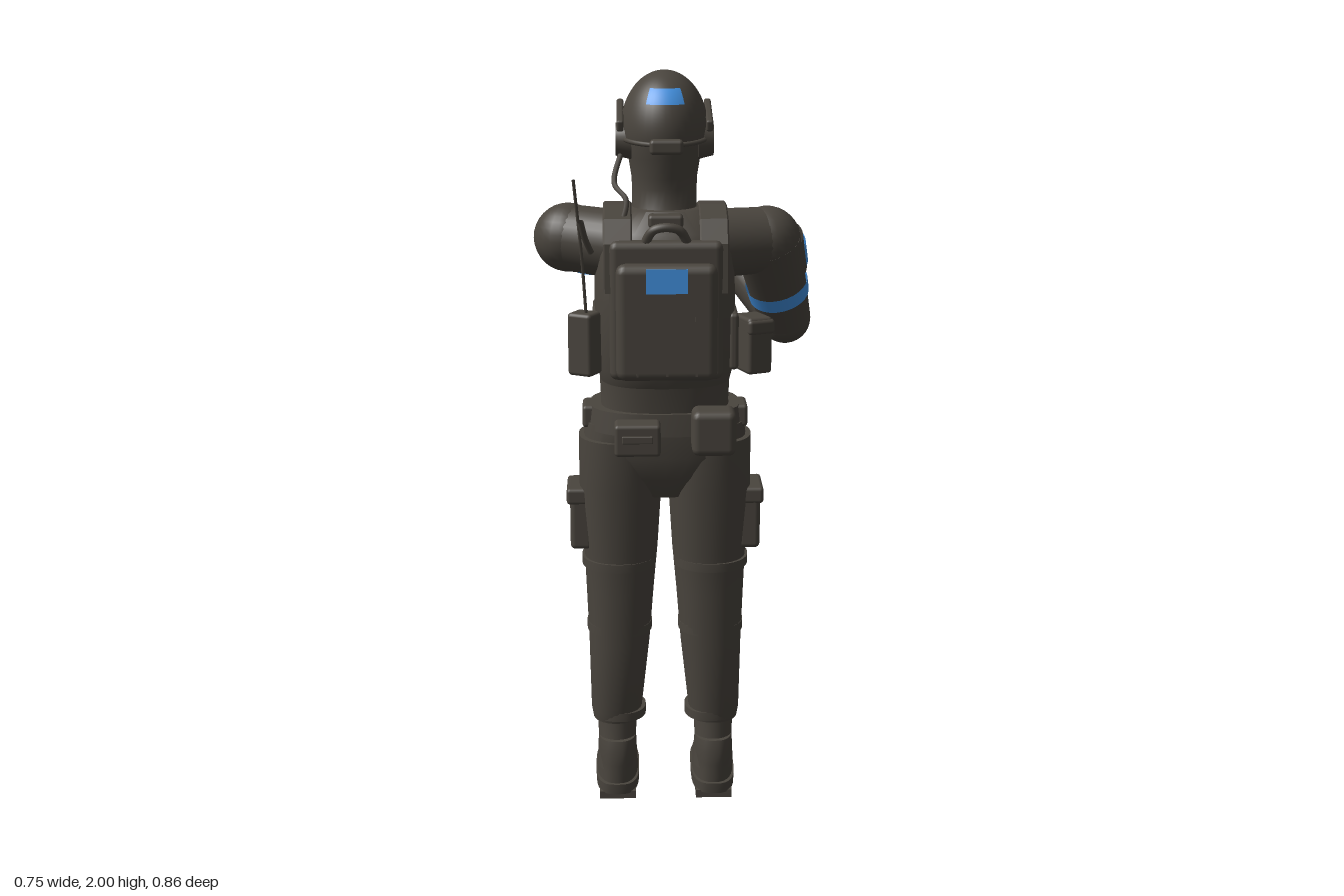
import * as THREE from 'three';
import { RoundedBoxGeometry } from 'three/addons/geometries/RoundedBoxGeometry.js';
import { toCreasedNormals } from 'three/addons/utils/BufferGeometryUtils.js';

const CX = -0.03; // body centre line
const V = (x, y, z) => new THREE.Vector3(x, y, z);

export function createModel() {
  const dark = new THREE.MeshStandardMaterial({ color: 0x4a453e, side: THREE.DoubleSide });
  dark.name = 'dark gear';
  const blue = new THREE.MeshStandardMaterial({ color: 0x4596e8, side: THREE.DoubleSide });
  blue.name = 'blue marking';
  const model = new THREE.Group();

  const add = (name, geo, mat = dark, parent = model) => {
    const m = new THREE.Mesh(geo, mat);
    m.name = name;
    parent.add(m);
    return m;
  };
  const box = (name, x, y, z, w, h, d, r = 0.01, mat = dark, parent = model) => {
    const g = r ? new RoundedBoxGeometry(w, h, d, 2, r) : new THREE.BoxGeometry(w, h, d);
    const m = add(name, g, mat, parent);
    m.position.set(x, y, z);
    return m;
  };
  // Stack of superellipse rings [y, cx, cz, rx, rz], capped at both ends
  const loft = (name, rings, power = 2, mat = dark) => {
    const n = 32, pos = [], idx = [];
    const bend = v => Math.sign(v) * Math.abs(v) ** (2 / power);
    for (const [y, cx, cz, rx, rz] of rings)
      for (let i = 0; i < n; i++) {
        const a = i / n * Math.PI * 2;
        pos.push(cx + rx * bend(Math.cos(a)), y, cz + rz * bend(Math.sin(a)));
      }
    for (let r = 0; r < rings.length - 1; r++)
      for (let i = 0; i < n; i++) {
        const a = r * n + i, b = r * n + (i + 1) % n;
        idx.push(a, a + n, b, b, a + n, b + n);
      }
    const top = (rings.length - 1) * n;
    for (let i = 1; i < n - 1; i++) idx.push(0, i, i + 1, top, top + i + 1, top + i);
    const g = new THREE.BufferGeometry();
    g.setAttribute('position', new THREE.Float32BufferAttribute(pos, 3));
    g.setIndex(idx);
    return add(name, toCreasedNormals(g, 0.7), mat);
  };
  const ball = (name, p, r) => add(name, new THREE.SphereGeometry(r, 24, 16)).position.copy(p);
  // Tapered segment from a to b; its local y axis points back to a
  const limb = (name, a, b, ra, rb) => {
    const len = a.distanceTo(b), grp = new THREE.Group();
    grp.position.copy(a).add(b).multiplyScalar(0.5);
    grp.quaternion.setFromUnitVectors(V(0, 1, 0), a.clone().sub(b).normalize());
    model.add(grp);
    grp.name = name;
    add(name, new THREE.CylinderGeometry(ra, rb, len, 28), dark, grp);
    return { grp, len };
  };
  const tube = (name, pts, r, mat = dark) =>
    add(name, new THREE.TubeGeometry(new THREE.CatmullRomCurve3(pts), 40, r, 8), mat);

  // Head, face covering and neck
  loft('head', [[1.6, CX, 0.165, 0.1, 0.1], [1.65, CX, 0.155, 0.084, 0.083], [1.7, CX, 0.15, 0.084, 0.085],
    [1.73, CX, 0.14, 0.086, 0.1], [1.78, CX, 0.145, 0.094, 0.106], [1.85, CX, 0.155, 0.1, 0.11], [1.92, CX, 0.155, 0.09, 0.11]]);
  box('nose', CX, 1.81, 0.043, 0.03, 0.06, 0.03, 0.012);
  box('browBand', CX, 1.872, 0.055, 0.13, 0.03, 0.03, 0.012);

  // Helmet shell: dome with the lower edge raised over the face
  const edge = z => z < 0 ? THREE.MathUtils.lerp(-0.12, 0.32, Math.min(1, -z * 1.15)) : -0.12 - 0.06 * z;
  const shell = new THREE.SphereGeometry(1, 40, 24, 0, Math.PI * 2, 0, 0.56 * Math.PI);
  const sp = shell.attributes.position;
  for (let i = 0; i < sp.count; i++) sp.setY(i, Math.max(sp.getY(i), edge(sp.getZ(i))));
  shell.scale(0.113, 0.15, 0.135).translate(CX, 1.85, 0.157);
  shell.computeVertexNormals();
  add('helmetShell', shell);
  const rim = [];
  for (let i = 0; i <= 32; i++) {
    const a = i / 32 * Math.PI * 2, z = Math.cos(a);
    rim.push(V(CX + 0.113 * Math.sin(a), 1.85 + 0.15 * edge(z), 0.157 + 0.137 * z));
  }
  tube('helmetRim', rim, 0.006);
  const mark = new THREE.SphereGeometry(1.02, 10, 6, Math.PI / 2 - 0.5, 1, 0.76, 0.32);
  add('helmetPatch', mark.scale(0.113, 0.15, 0.135).translate(CX, 1.85, 0.157), blue);
  box('helmetMount', CX, 1.912, 0.018, 0.045, 0.045, 0.022, 0.006);
  box('helmetRearBox', CX + 0.002, 1.82, 0.302, 0.085, 0.038, 0.035);
  for (const s of [-1, 1]) {
    const rail = box('helmetRail', CX + s * 0.114, 1.885, 0.155, 0.018, 0.03, 0.17, 0.006);
    rail.rotation.x = 0.25;
    const cup = add('earCup', new THREE.CylinderGeometry(0.042, 0.052, 0.04, 24));
    cup.rotation.z = -s * Math.PI / 2;
    cup.position.set(CX + s * 0.106, 1.825, 0.172);
    tube('chinStrap', [V(CX + s * 0.098, 1.84, 0.12), V(CX + s * 0.084, 1.76, 0.08), V(CX, 1.725, 0.044)], 0.006);
  }
  tube('headsetCable', [V(-0.14, 1.8, 0.19), V(-0.16, 1.72, 0.23), V(-0.13, 1.68, 0.27), V(-0.15, 1.6, 0.29)], 0.007);

  // Torso and armoured vest
  loft('waist', [[1.02, CX, 0.16, 0.19, 0.13], [1.13, CX, 0.16, 0.17, 0.135], [1.24, CX, 0.165, 0.175, 0.15]], 2.4);
  loft('vest', [[1.2, CX, 0.165, 0.172, 0.165], [1.24, CX, 0.168, 0.182, 0.178], [1.42, CX, 0.165, 0.185, 0.187],
    [1.54, CX, 0.168, 0.182, 0.178], [1.6, CX, 0.17, 0.165, 0.15], [1.65, CX, 0.165, 0.1, 0.1]], 2.7);
  const arch = new THREE.Shape([[0.352, 1.46], [0.345, 1.58], [0.3, 1.635], [0.22, 1.66], [0.13, 1.655], [0.05, 1.61],
    [-0.005, 1.55], [-0.03, 1.46]].map(p => new THREE.Vector2(...p)));
  for (const s of [-1, 1]) {
    const g = new THREE.ExtrudeGeometry(arch, { depth: 0.066, bevelSize: 0.004, bevelThickness: 0.004, bevelSegments: 1 });
    add('shoulderStrap', g.rotateY(-Math.PI / 2).translate(CX + s * 0.123 + 0.033, 0, 0));
    box('cummerbund', CX + s * 0.178, 1.31, 0.16, 0.025, 0.15, 0.22);
  }
  box('chestPlate', CX, 1.4, -0.015, 0.25, 0.33, 0.06, 0.02);
  box('chestFlap', CX, 1.49, -0.05, 0.22, 0.1, 0.03);
  box('chestPatch', CX, 1.475, -0.068, 0.075, 0.05, 0.007, 0, blue);
  box('chestShelf', CX + 0.005, 1.345, -0.045, 0.24, 0.03, 0.03);
  for (let i = -1; i <= 1; i++) {
    box('magazinePouch', CX + i * 0.077, 1.265, -0.04, 0.068, 0.13, 0.06);
    box('pouchFlap', CX + i * 0.077, 1.31, -0.045, 0.072, 0.04, 0.064);
  }
  box('frontUtilityPouch', 0.13, 1.27, -0.005, 0.075, 0.13, 0.08);

  // Back panel
  box('backPack', CX, 1.39, 0.394, 0.257, 0.3, 0.056, 0.024);
  box('backHarness', CX, 1.41, 0.34, 0.29, 0.36, 0.05, 0.02);
  for (const x of [-0.075, 0, 0.075]) box('backSeam', CX + x, 1.36, 0.421, 0.006, 0.21, 0.004, 0);
  box('backPatch', CX, 1.5, 0.424, 0.105, 0.062, 0.006, 0, blue);
  tube('dragHandle', [V(-0.09, 1.57, 0.34), V(-0.06, 1.62, 0.36), V(0, 1.62, 0.36), V(0.03, 1.57, 0.34)], 0.012);
  box('collarPad', CX, 1.63, 0.28, 0.09, 0.035, 0.05);

  // Side pouches and radio
  box('sidePouch', 0.2, 1.3, 0.235, 0.07, 0.15, 0.09).rotation.y = 0.4;
  box('sidePouchFlap', 0.203, 1.35, 0.235, 0.076, 0.04, 0.096).rotation.y = 0.4;
  box('radio', -0.24, 1.31, 0.27, 0.07, 0.165, 0.065).rotation.y = -0.5;
  tube('antenna', [V(-0.235, 1.38, 0.28), V(-0.245, 1.55, 0.31), V(-0.262, 1.745, 0.355)], 0.004);
  tube('radioKnob', [V(-0.22, 1.56, 0.34), V(-0.235, 1.6, 0.36), V(-0.245, 1.645, 0.38)], 0.008);

  // Belt and its pouches
  loft('belt', [[1.065, CX, 0.155, 0.207, 0.155], [1.125, CX, 0.155, 0.2, 0.15]], 2.6);
  box('buckle', CX, 1.095, -0.005, 0.07, 0.05, 0.025, 0.006);
  box('rearPouchSmall', -0.105, 1.07, 0.33, 0.12, 0.085, 0.075);
  box('rearPouchFlap', -0.105, 1.075, 0.37, 0.08, 0.02, 0.01, 0.003);
  box('rearPouchLarge', 0.093, 1.09, 0.335, 0.115, 0.12, 0.095, 0.02);
  box('frontBeltPouch', 0.07, 1.065, -0.002, 0.06, 0.09, 0.05);
  box('frontBeltPouch', -0.13, 1.075, 0.0, 0.05, 0.07, 0.045);
  for (const s of [-1, 1]) box('hipPouch', CX + s * 0.2, 1.095, 0.16, 0.04, 0.06, 0.1);

  // Hips, legs and boots
  loft('hips', [[0.88, CX, 0.165, 0.07, 0.08], [0.94, CX, 0.165, 0.13, 0.115], [1.0, CX, 0.163, 0.222, 0.13],
    [1.08, CX, 0.16, 0.212, 0.135]], 2.5);
  for (const s of [-1, 1]) {
    const X = d => CX + s * d;
    loft('leg', [[0.22, X(0.134), 0.155, 0.066, 0.074], [0.25, X(0.135), 0.156, 0.07, 0.08], [0.45, X(0.126), 0.162, 0.083, 0.09],
      [0.6, X(0.123), 0.155, 0.092, 0.1], [0.72, X(0.12), 0.152, 0.1, 0.11], [0.9, X(0.12), 0.16, 0.111, 0.122],
      [1.04, X(0.118), 0.162, 0.113, 0.125]], 2.2);
    for (const [y, rx, rz] of [[0.24, 0.071, 0.08], [0.495, 0.089, 0.096], [0.685, 0.101, 0.109]])
      loft('legStrap', [[y - 0.012, X(0.125), 0.156, rx, rz], [y + 0.012, X(0.125), 0.156, rx, rz]], 2.2);
    loft('kneePad', [[0.49, X(0.123), 0.095, 0.06, 0.05], [0.53, X(0.123), 0.08, 0.082, 0.06],
      [0.62, X(0.123), 0.08, 0.084, 0.065], [0.67, X(0.123), 0.09, 0.07, 0.06]], 2.8);
    box('kneeCap', X(0.123), 0.585, 0.022, 0.09, 0.1, 0.025);
    box('thighPocket', X(0.226), 0.805, 0.15, 0.06, 0.16, 0.135, 0.014);
    box('thighPocketFlap', X(0.233), 0.875, 0.15, 0.064, 0.045, 0.142);
    loft('ankle', [[0.08, X(0.134), 0.175, 0.056, 0.064], [0.17, X(0.134), 0.17, 0.052, 0.055], [0.26, X(0.134), 0.16, 0.056, 0.062]]);
    loft('boot', [[0.04, X(0.134), 0.108, 0.058, 0.138], [0.075, X(0.134), 0.113, 0.056, 0.133], [0.1, X(0.134), 0.135, 0.053, 0.112],
      [0.135, X(0.134), 0.165, 0.053, 0.082], [0.17, X(0.134), 0.175, 0.05, 0.064]], 2.5);
    loft('sole', [[0.018, X(0.134), 0.108, 0.06, 0.145], [0.048, X(0.134), 0.108, 0.061, 0.147]], 3);
    for (let i = 0; i < 6; i++) box('soleLug', X(0.134), 0.011, -0.01 + i * 0.047, 0.1, 0.022, 0.032, 0);
    for (let i = 0; i < 4; i++) {
      const lace = box('bootLace', X(0.134), 0.1 + i * 0.018, 0.032 + i * 0.022, 0.05, 0.008, 0.012, 0.003);
      lace.rotation.x = -0.6;
    }
  }

  // Arms with band, sleeve patch, cuff and fist
  const arms = [
    { s: -1, root: V(-0.15, 1.555, 0.19), S: V(-0.283, 1.565, 0.135), E: V(-0.205, 1.5, -0.065), W: V(0.04, 1.51, -0.295),
      hand: V(0.097, 1.53, -0.36), band: 0.78, theta: 1.36 * Math.PI },
    { s: 1, root: V(0.1, 1.555, 0.18), S: V(0.24, 1.555, 0.135), E: V(0.302, 1.32, 0.01), W: V(0.15, 1.475, -0.135),
      hand: V(0.122, 1.515, -0.195), band: 0.6, theta: 0.5 * Math.PI },
  ];
  for (const { root, S, E, W, hand, band, theta, s } of arms) {
    limb('shoulder', root, S, 0.09, 0.087);
    ball('shoulderCap', S, 0.09);
    const { grp, len } = limb('upperArm', S, E, 0.09, 0.07);
    const wrap = (name, t, h, grow, start, sweep, mat) => {
      const r = f => 0.09 - 0.02 * f + grow, f0 = t - h / len / 2, f1 = t + h / len / 2;
      const g = new THREE.CylinderGeometry(r(f0), r(f1), h, 28, 1, true, start, sweep);
      add(name, g, mat, grp).position.y = len * (0.5 - t);
    };
    wrap('armBand', band, 0.042, 0.005, 0, Math.PI * 2, blue);
    const at = s < 0 ? 0.42 : 0.2;
    wrap('sleevePocket', at, 0.105, 0.007, theta - 0.65, 1.3, dark);
    wrap('sleevePatch', at, 0.06, 0.012, theta - 0.4, 0.8, blue);
    ball('elbow', E, 0.07);
    limb('forearm', E, W, 0.068, 0.052);
    limb('cuff', E.clone().lerp(W, 0.72), W, 0.06, 0.056);
    limb('wrist', W, hand, 0.042, 0.036);
    const fist = new THREE.Group();
    fist.name = 'hand';
    fist.position.copy(hand);
    model.add(fist);
    box('palm', 0, 0, 0, 0.084, 0.05, 0.085, 0.014, dark, fist);
    box('gloveGuard', 0, 0.025, 0.002, 0.066, 0.014, 0.06, 0.005, dark, fist);
    for (let i = 0; i < 4; i++) {
      const knuckle = add('finger', new THREE.CapsuleGeometry(0.011, 0.024, 4, 10), dark, fist);
      knuckle.rotation.x = Math.PI / 2;
      knuckle.position.set(-0.034 + i * 0.0225, 0.012, -0.045);
      const tip = add('fingertip', new THREE.CapsuleGeometry(0.011, 0.022, 4, 10), dark, fist);
      tip.position.set(-0.034 + i * 0.0225, -0.006, -0.054);
    }
    const thumb = add('thumb', new THREE.CapsuleGeometry(0.013, 0.04, 4, 10), dark, fist);
    thumb.rotation.set(Math.PI / 2, 0, 0.3 * s);
    thumb.position.set(-s * 0.042, -0.01, -0.02);
  }
  return model;
}
